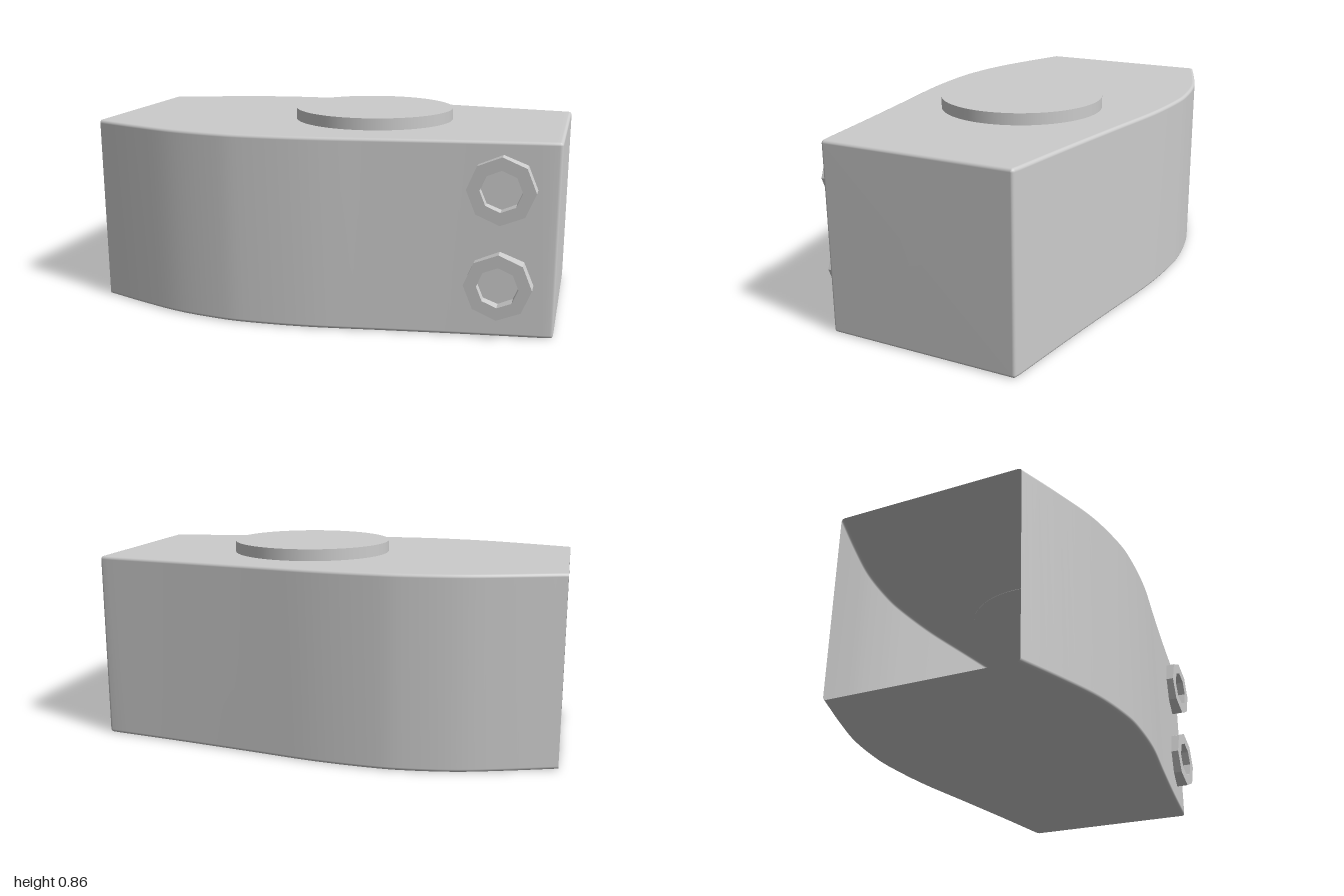
import * as THREE from 'three';

const HEIGHT = 0.81, BEVEL = 0.014, ARC = 4;

// Half width of the body along its length (x, half z)
const outline = new THREE.SplineCurve([
  [-1, 0.405], [-0.8, 0.478], [-0.6, 0.541], [-0.4, 0.574], [-0.25, 0.58], [0, 0.563],
  [0.3, 0.517], [0.65, 0.465], [1, 0.418],
].map(([x, z]) => new THREE.Vector2(x, z)));

// Rounded rectangular section at x, shrunk by inset
function section(x, half, inset) {
  const pts = [];
  const w = half - BEVEL, h = HEIGHT / 2 - BEVEL, r = BEVEL - inset;
  for (let c = 0; c < 4; c++) {
    const sz = c === 0 || c === 3 ? 1 : -1, sy = c < 2 ? 1 : -1;
    for (let k = 0; k <= ARC; k++) {
      const a = (c + k / ARC) * Math.PI / 2;
      pts.push([x, HEIGHT / 2 + sy * h + r * Math.sin(a), sz * w + r * Math.cos(a)]);
    }
  }
  return pts;
}

// Shell lofted along x: open at -x, bevelled and closed at +x
function shellGeometry() {
  const rings = [];
  const steps = 48;
  for (let i = 0; i <= steps; i++) {
    const p = outline.getPoint(i / steps);
    rings.push(section(Math.min(p.x, 1 - BEVEL), p.y, 0));
  }
  for (let k = 1; k <= ARC; k++) {
    const a = k / ARC * Math.PI / 2;
    rings.push(section(1 - BEVEL + BEVEL * Math.sin(a), 0.418, BEVEL * (1 - Math.cos(a)) * 0.98));
  }
  const n = rings[0].length, index = [];
  const positions = rings.flat(2);
  for (let i = 0; i < rings.length - 1; i++) {
    for (let j = 0; j < n; j++) {
      const a = i * n + j, b = i * n + (j + 1) % n;
      index.push(a, a + n, b, b, a + n, b + n);
    }
  }
  // End wall
  const last = (rings.length - 1) * n, centre = rings.length * n;
  positions.push(1, HEIGHT / 2, 0);
  for (let j = 0; j < n; j++) index.push(centre, last + (j + 1) % n, last + j);
  const g = new THREE.BufferGeometry();
  g.setAttribute('position', new THREE.Float32BufferAttribute(positions, 3));
  g.setIndex(index);
  g.computeVertexNormals();
  return g;
}

function octagon(Type, r) {
  const pts = [];
  for (let i = 0; i < 8; i++) {
    const a = i * Math.PI / 4;
    pts.push(new THREE.Vector2(r * Math.cos(a), r * Math.sin(a)));
  }
  return new Type(pts);
}

export function createModel() {
  const group = new THREE.Group();
  const add = (name, geometry, options, x, y, z) => {
    const mesh = new THREE.Mesh(geometry, new THREE.MeshStandardMaterial({ color: 0xcccccc, ...options }));
    mesh.name = name;
    mesh.position.set(x, y, z);
    group.add(mesh);
  };

  add('bodyShell', shellGeometry(), { side: THREE.DoubleSide }, 0, 0, 0);

  // Flat round disc on top
  add('topDisc', new THREE.CylinderGeometry(0.35, 0.35, 0.052, 64), {}, 0.15, 0.834, 0);

  // Two octagonal rings on the front wall
  const ring = octagon(THREE.Shape, 0.137);
  ring.holes.push(octagon(THREE.Path, 0.084));
  const ringGeometry = new THREE.ExtrudeGeometry(ring, { depth: 0.078, bevelEnabled: false });
  [['upperRing', 0.62], ['lowerRing', 0.226]].forEach(([name, y]) =>
    add(name, ringGeometry, { flatShading: true }, 0.776, y, 0.422));

  return group;
}
